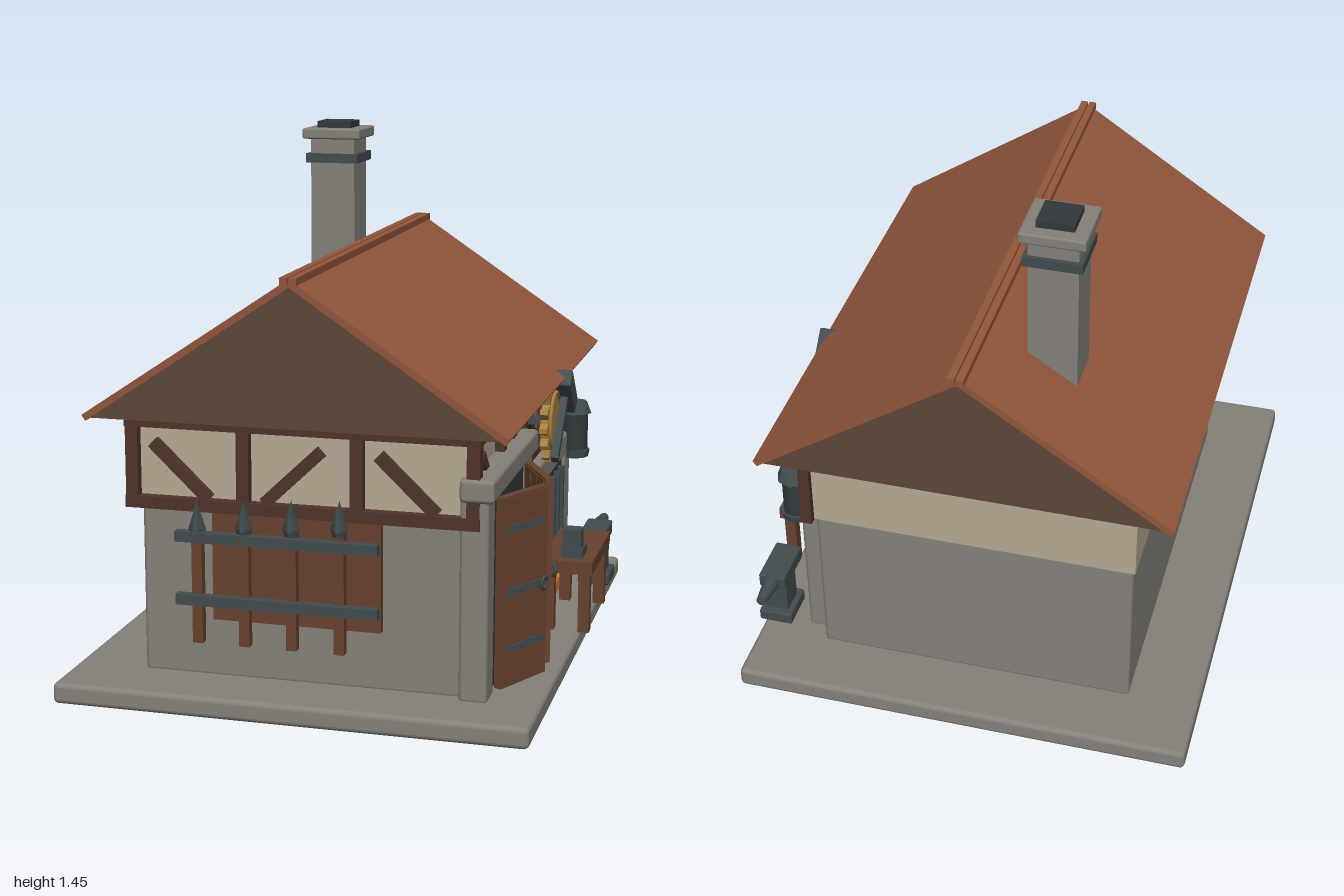
import * as THREE from 'three';
import { RoundedBoxGeometry } from 'three/addons/geometries/RoundedBoxGeometry.js';

const mat = (name, color) => Object.assign(new THREE.MeshStandardMaterial({ color }), { name });

export function createModel() {
  const stone = mat('stone', 0x85817a);
  const plaster = mat('plaster', 0xb4a992);
  const timber = mat('dark timber', 0x50342a);
  const wood = mat('wood', 0x68422f);
  const gableWood = mat('gable wood', 0x5e473a);
  const tile = mat('roof tile', 0x91563b);
  const iron = mat('iron', 0x434c50);
  const darkIron = mat('dark recess', 0x33393b);
  const ember = mat('ember', 0xd97f22);
  const brass = mat('brass', 0xa8823f);

  const model = new THREE.Group();
  model.name = 'smithy';
  const house = new THREE.Group(); // the house stands diagonally on the axes
  house.name = 'house';
  house.rotation.y = Math.PI / 4;
  model.add(house);

  const add = (name, geo, m, x = 0, y = 0, z = 0, parent = house) => {
    const mesh = new THREE.Mesh(geo, m);
    mesh.name = name;
    mesh.position.set(x, y, z);
    parent.add(mesh);
    return mesh;
  };
  // box given by its limits, rounded when r > 0
  const box = (name, m, x0, x1, y0, y1, z0, z1, r = 0, parent = house) => {
    const s = [x1 - x0, y1 - y0, z1 - z0];
    const geo = r ? new RoundedBoxGeometry(...s, 2, r) : new THREE.BoxGeometry(...s);
    return add(name, geo, m, (x0 + x1) / 2, (y0 + y1) / 2, (z0 + z1) / 2, parent);
  };
  const group = (name, x = 0, y = 0, z = 0, ry = 0, parent = house) => {
    const g = new THREE.Group();
    g.name = name;
    g.position.set(x, y, z);
    g.rotation.y = ry;
    parent.add(g);
    return g;
  };

  // base and walls
  box('base', stone, -0.781, 0.781, 0, 0.057, -0.633, 0.633, 0.014);
  box('stoneWall', stone, -0.6, 0.6, 0.05, 0.512, -0.44, 0.44, 0.012);
  box('plasterWall', plaster, -0.607, 0.607, 0.51, 0.76, -0.447, 0.447);

  // half timbering: posts, beams and alternating braces along one wall
  const timbering = (g, half, count) => {
    const t = 0.028, step = (2 * half) / count;
    box('lowerBeam', timber, -half - 0.018, half + 0.018, 0.508, 0.54, -0.005, t, 0, g);
    box('upperBeam', timber, -half - 0.018, half + 0.018, 0.725, 0.757, -0.005, t, 0, g);
    for (let i = 0; i <= count; i++) {
      const x = -half + i * step;
      box('post', timber, x - 0.017, x + 0.017, 0.51, 0.755, -0.005, t - 0.003, 0, g);
      if (i === count) continue;
      const s = i % 2 ? 1 : -1;
      const brace = add('brace', new THREE.BoxGeometry(0.21, 0.032, 0.022), timber,
        x + step / 2 - 0.02, 0.612, 0.009, g);
      brace.rotation.z = s * 0.76;
    }
  };
  timbering(group('frontTimbering', 0, 0, 0.447), 0.61, 4);
  timbering(group('sideTimbering', -0.607, 0, 0, -Math.PI / 2), 0.455, 3);

  // roof: solid gable prism, two tiled slabs and a ridge
  const tri = new THREE.Shape([[-0.548, 0], [0.548, 0], [0, 0.365]].map(p => new THREE.Vector2(...p)));
  const prism = new THREE.ExtrudeGeometry(tri, { depth: 1.4, bevelEnabled: false });
  prism.translate(0, 0, -0.7);
  add('gables', prism, gableWood, 0, 0.757, 0).rotation.y = Math.PI / 2;
  const slope = Math.atan2(0.372, 0.557);
  for (const s of [-1, 1]) {
    const slab = add('roofSlope', new THREE.BoxGeometry(1.412, 0.018, Math.hypot(0.557, 0.372)), tile,
      0, 0.943, s * 0.277);
    slab.rotation.x = s * slope;
  }
  for (const s of [-1, 1])
    box('ridgeTile', tile, -0.715, 0.715, 1.122, 1.143, s * 0.012 - 0.01, s * 0.012 + 0.01);

  // chimney
  const chimney = group('chimney', 0.385, 0, -0.18);
  const stack = (name, m, w, y0, y1, r) => box(name, m, -w, w, y0, y1, -w, w, r, chimney);
  stack('shaft', stone, 0.066, 0.92, 1.41);
  stack('band', iron, 0.078, 1.33, 1.357);
  stack('cap', stone, 0.087, 1.4, 1.431, 0.006);
  stack('flue', darkIron, 0.05, 1.425, 1.45);

  // doorway with two leaves standing ajar
  const door = group('doorway', -0.33);
  for (const s of [-1, 1])
    box('jamb', stone, s * 0.255 - 0.045, s * 0.255 + 0.045, 0.05, 0.6, 0.42, 0.495, 0.012, door);
  box('lintel', stone, -0.31, 0.31, 0.58, 0.642, 0.42, 0.51, 0.012, door);
  box('opening', darkIron, -0.215, 0.215, 0.057, 0.585, 0.43, 0.486, 0, door);
  for (const s of [-1, 1]) {
    const leaf = group('doorLeaf', s * 0.2, 0, 0.503, s * 0.47, door);
    const L = 0.19, mid = -s * L / 2;
    box('panel', wood, mid - L / 2, mid + L / 2, 0.062, 0.573, -0.011, 0.011, 0, leaf);
    for (const k of [-1, 0, 1])
      box('plank', wood, mid + k * 0.06 - 0.027, mid + k * 0.06 + 0.027, 0.067, 0.568, -0.014, 0.014, 0, leaf);
    for (const y of [0.165, 0.318, 0.485])
      box('strap', iron, mid - 0.075, mid + 0.075, y - 0.009, y + 0.009, -0.018, 0.018, 0, leaf);
    const ring = add('handle', new THREE.TorusGeometry(0.016, 0.005, 6, 12), iron, -s * 0.165, 0.315, 0.022, leaf);
    ring.rotation.y = 0.2;
  }

  // forge hearth with grate and embers
  const forge = group('forge', 0.26);
  for (const s of [-1, 1])
    box('hearthSide', stone, s * 0.245 - 0.045, s * 0.245 + 0.045, 0.05, 0.515, 0.42, 0.505, 0.012, forge);
  box('hearthTop', stone, -0.29, 0.29, 0.45, 0.522, 0.42, 0.505, 0.012, forge);
  box('hearthSill', stone, -0.21, 0.21, 0.05, 0.085, 0.42, 0.505, 0, forge);
  box('hearthBack', darkIron, -0.202, 0.202, 0.08, 0.452, 0.43, 0.495, 0, forge);
  box('embers', ember, -0.175, 0.175, 0.075, 0.12, 0.49, 0.52, 0.008, forge);
  for (let i = 0; i < 5; i++) {
    const x = -0.14 + i * 0.07;
    box('flame', ember, x - 0.026, x + 0.026, 0.1, i % 2 ? 0.18 : 0.2, 0.49, 0.51, 0.008, forge);
    box('grateBar', iron, x - 0.01, x + 0.01, 0.21, 0.435, 0.49, 0.513, 0, forge);
  }
  box('grateRail', iron, -0.175, 0.175, 0.2, 0.22, 0.49, 0.512, 0, forge);

  // workbench with a vise
  const bench = group('workbench', 0.155, 0, 0.592);
  box('benchTop', wood, -0.17, 0.17, 0.228, 0.264, -0.074, 0.074, 0, bench);
  for (const sx of [-1, 1]) for (const sz of [-1, 1])
    box('benchLeg', wood, sx * 0.14 - 0.016, sx * 0.14 + 0.016, 0.055, 0.23, sz * 0.05 - 0.016, sz * 0.05 + 0.016, 0, bench);
  box('viseBase', iron, -0.135, -0.05, 0.262, 0.29, -0.02, 0.04, 0, bench);
  box('viseJaw', iron, -0.13, -0.085, 0.285, 0.345, -0.018, 0.035, 0, bench);

  // anvil, horn towards the corner
  const anvil = group('anvil', 0.515, 0, 0.6);
  box('foot', iron, -0.058, 0.058, 0.057, 0.093, -0.048, 0.048, 0.006, anvil);
  box('waist', iron, -0.036, 0.036, 0.09, 0.195, -0.032, 0.032, 0, anvil);
  box('face', iron, -0.085, 0.06, 0.19, 0.232, -0.038, 0.038, 0.005, anvil);
  add('horn', new THREE.CylinderGeometry(0.014, 0.024, 0.09, 10), iron, 0.1, 0.215, 0, anvil).rotation.z = -Math.PI / 2;

  // lantern on a bracket
  const lantern = group('lantern', 0.523, 0, 0.523);
  const ring = (name, r0, r1, y0, y1, m = iron) =>
    add(name, new THREE.CylinderGeometry(r0, r1, y1 - y0, 8), m, 0, (y0 + y1) / 2, 0, lantern);
  ring('lanternBase', 0.047, 0.042, 0.44, 0.463);
  ring('lanternBody', 0.04, 0.04, 0.46, 0.58, darkIron);
  ring('lanternCap', 0.036, 0.05, 0.575, 0.61);
  box('bracket', iron, -0.01, 0.01, 0.585, 0.603, -0.08, 0, 0, lantern);

  // sign: toothed brass wheel with a hammer
  const sign = group('sign', 0.075, 0.645, 0.525);
  const wheel = new THREE.Shape(), N = 14;
  for (let i = 0; i < N * 4; i++) {
    const a = (i / (N * 4)) * Math.PI * 2, r = i % 4 < 2 ? 0.117 : 0.097;
    wheel[i ? 'lineTo' : 'moveTo'](r * Math.cos(a), r * Math.sin(a));
  }
  add('wheel', new THREE.ExtrudeGeometry(wheel, { depth: 0.022, bevelEnabled: false }), brass, 0, 0, -0.011, sign);
  add('wheelRim', new THREE.TorusGeometry(0.08, 0.007, 6, 28), brass, 0, 0, 0.012, sign);
  box('signBracket', iron, -0.012, 0.012, -0.012, 0.012, -0.075, -0.005, 0, sign);
  const hammer = group('hammer', 0, 0, 0.03, 0, sign);
  hammer.rotation.z = -0.8;
  box('handle', iron, -0.012, 0.012, -0.13, 0.1, -0.01, 0.01, 0, hammer);
  box('head', iron, -0.07, 0.07, 0.075, 0.13, -0.024, 0.024, 0.005, hammer);

  // spear rack on the side wall
  const rack = group('spearRack', -0.6, 0, 0, -Math.PI / 2);
  box('rackBoard', wood, -0.24, 0.215, 0.215, 0.51, 0, 0.02, 0, rack);
  for (const y of [0.275, 0.445])
    box('rackRail', iron, -0.33, 0.215, y - 0.014, y + 0.014, 0.035, 0.06, 0, rack);
  for (let i = 0; i < 4; i++) {
    const x = -0.275 + i * 0.128, y = 0.445 + i * 0.008;
    box('spearShaft', wood, x - 0.014, x + 0.014, 0.155, y, 0.02, 0.045, 0, rack);
    add('spearCollar', new THREE.CylinderGeometry(0.022, 0.018, 0.02, 6), iron, x, y + 0.01, 0.035, rack);
    add('spearHead', new THREE.ConeGeometry(0.025, 0.08, 4), iron, x, y + 0.055, 0.035, rack);
  }
  return model;
}
